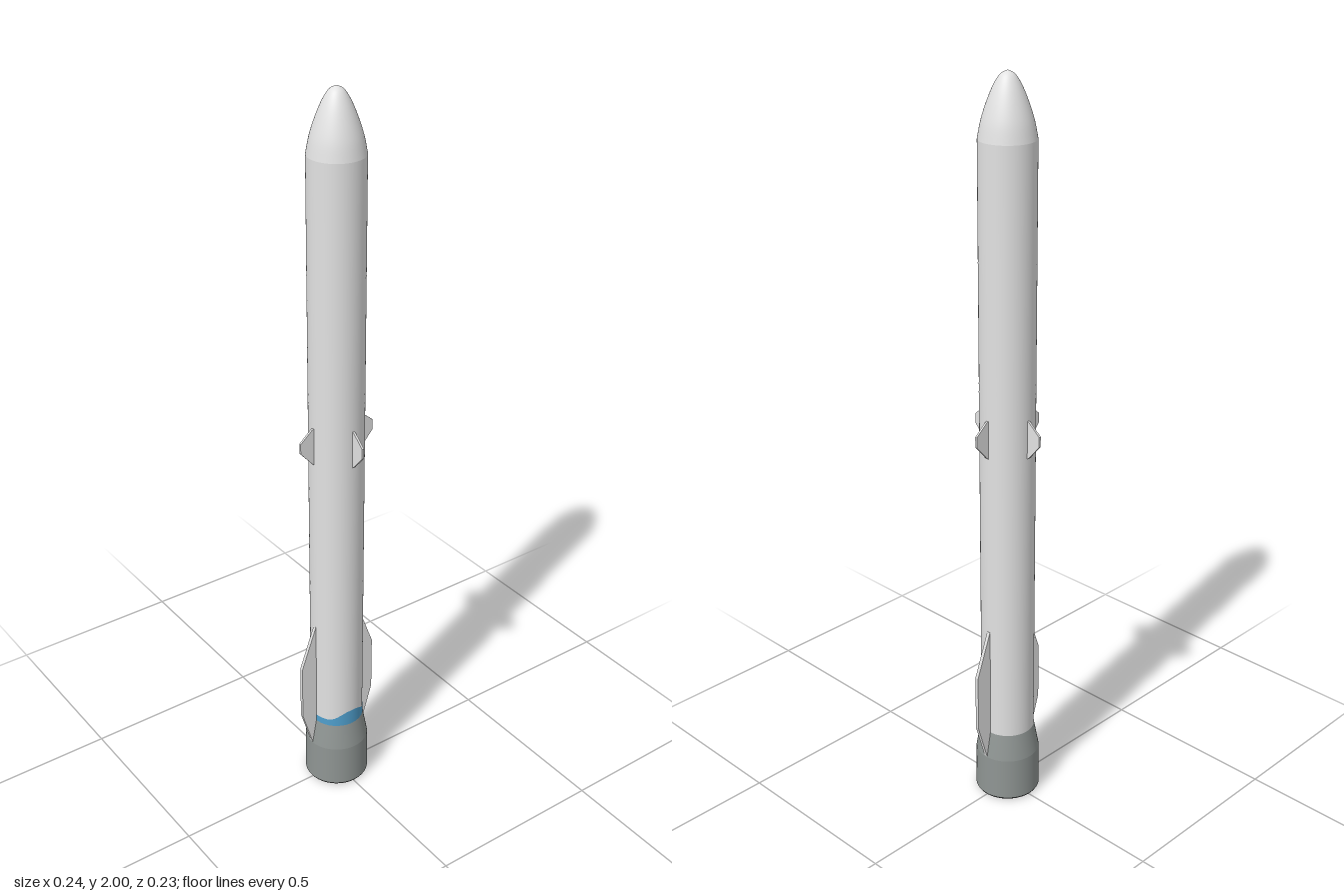
import * as THREE from 'three';

const mat = (name, color, side = THREE.FrontSide) => {
  const m = new THREE.MeshStandardMaterial({ color, side });
  m.name = name;
  return m;
};

export function createModel() {
  const white = mat('hullWhite', 0xe2e2e2);
  const grey = mat('skirtGrey', 0x8f9593);
  const blue = mat('bandBlue', 0x4f9fcd, THREE.DoubleSide);
  const dark = mat('engineDark', 0x2b2d2f);
  const metal = mat('nozzleMetal', 0x8a8a8a, THREE.DoubleSide);
  const rocket = new THREE.Group();
  rocket.name = 'rocket';

  const add = (name, geometry, material, parent = rocket) => {
    const mesh = new THREE.Mesh(geometry, material);
    mesh.name = name;
    parent.add(mesh);
    return mesh;
  };
  const lathe = (points, segments = 64) =>
    new THREE.LatheGeometry(points.map(([r, y]) => new THREE.Vector2(r, y)), segments);

  // Straight hull tube
  const R = 0.0725;
  const hull = add('hull', new THREE.CylinderGeometry(R, R, 1.64, 64, 1, true), white);
  hull.position.y = 1.02;

  // Ogive nose with a rounded tip
  const ogive = new THREE.SplineCurve([
    [R, 1.84], [0.064, 1.883], [0.05, 1.927], [0.034, 1.965], [0.018, 1.99], [0, 2],
  ].map(([r, y]) => new THREE.Vector2(r, y)));
  const nosePoints = ogive.getPoints(24);
  nosePoints[24].x = 0;
  add('nose', new THREE.LatheGeometry(nosePoints, 64), white);

  // Hull joints
  for (const y of [0.66, 1.2, 1.225, 1.54]) {
    const joint = add('hullJoint', new THREE.CylinderGeometry(R + 0.0004, R + 0.0004, 0.004, 64, 1, true), white);
    joint.position.y = y;
  }

  // Flared engine skirt: outer wall, shoulder and inner wall
  add('skirtWall', lathe([[0.0885, 0.008], [0.087, 0.13]]), grey);
  add('skirtShoulder', lathe([[0.087, 0.13], [0.0735, 0.205], [R, 0.205]]), grey);
  add('skirtInside', lathe([[0.083, 0.04], [0.083, 0.004]]), dark);
  add('skirtRim', lathe([[0.083, 0.004], [0.086, 0.004], [0.086, 0.008], [0.0885, 0.008]]), dark);
  const floor = add('engineFloor', new THREE.CircleGeometry(0.0835, 64), dark);
  floor.rotation.x = Math.PI / 2;
  floor.position.y = 0.035;

  // Blue band over the front half, its upper edge rising to a crest
  const bandGeometry = new THREE.CylinderGeometry(R + 0.001, R + 0.001, 1, 64, 1, true, -Math.PI / 2, Math.PI);
  const p = bandGeometry.attributes.position;
  for (let i = 0; i < p.count; i++) {
    const angle = Math.abs(Math.atan2(p.getX(i), p.getZ(i)));
    const crest = 1 - THREE.MathUtils.smoothstep(angle, 0.1, 0.95);
    p.setY(i, p.getY(i) > 0 ? 0.225 + 0.025 * crest : 0.2);
  }
  add('blueBand', bandGeometry, blue);

  // Flat fins, drawn as an outline from the hull outwards
  const addFin = (name, outline, thickness, angle) => {
    const shape = new THREE.Shape(outline.map(([x, y]) => new THREE.Vector2(x, y)));
    const geometry = new THREE.ExtrudeGeometry(shape, { depth: thickness, bevelEnabled: false });
    geometry.translate(0, 0, -thickness / 2);
    add(name, geometry, white).rotation.y = angle;
  };
  const upper = [[0.065, 1.03], [0.078, 1.04], [0.113, 1.08], [0.113, 1.108], [0.078, 1.138], [0.065, 1.142]];
  const lower = [[0.065, 0.13], [0.086, 0.13], [0.119, 0.24], [0.119, 0.4], [0.073, 0.525], [0.065, 0.525]];
  for (let i = 0; i < 4; i++) addFin('upperFin', upper, 0.006, i * Math.PI / 2);
  for (let i = 0; i < 2; i++) addFin('lowerFin', lower, 0.01, i * Math.PI);

  // Seven engines: one in the middle, six around it
  for (let i = 0; i < 7; i++) {
    const engine = new THREE.Group();
    engine.name = 'engine';
    const angle = i * Math.PI / 3;
    const reach = i === 6 ? 0 : 0.054;
    engine.position.set(Math.sin(angle) * reach, 0, Math.cos(angle) * reach);
    rocket.add(engine);
    add('nozzle', lathe([[0.023, 0], [0.021, 0.012], [0.016, 0.025], [0.009, 0.036]], 24), metal, engine);
    const throat = add('throat', new THREE.CircleGeometry(0.016, 24), dark, engine);
    throat.rotation.x = Math.PI / 2;
    throat.position.y = 0.0245;
  }
  return rocket;
}
